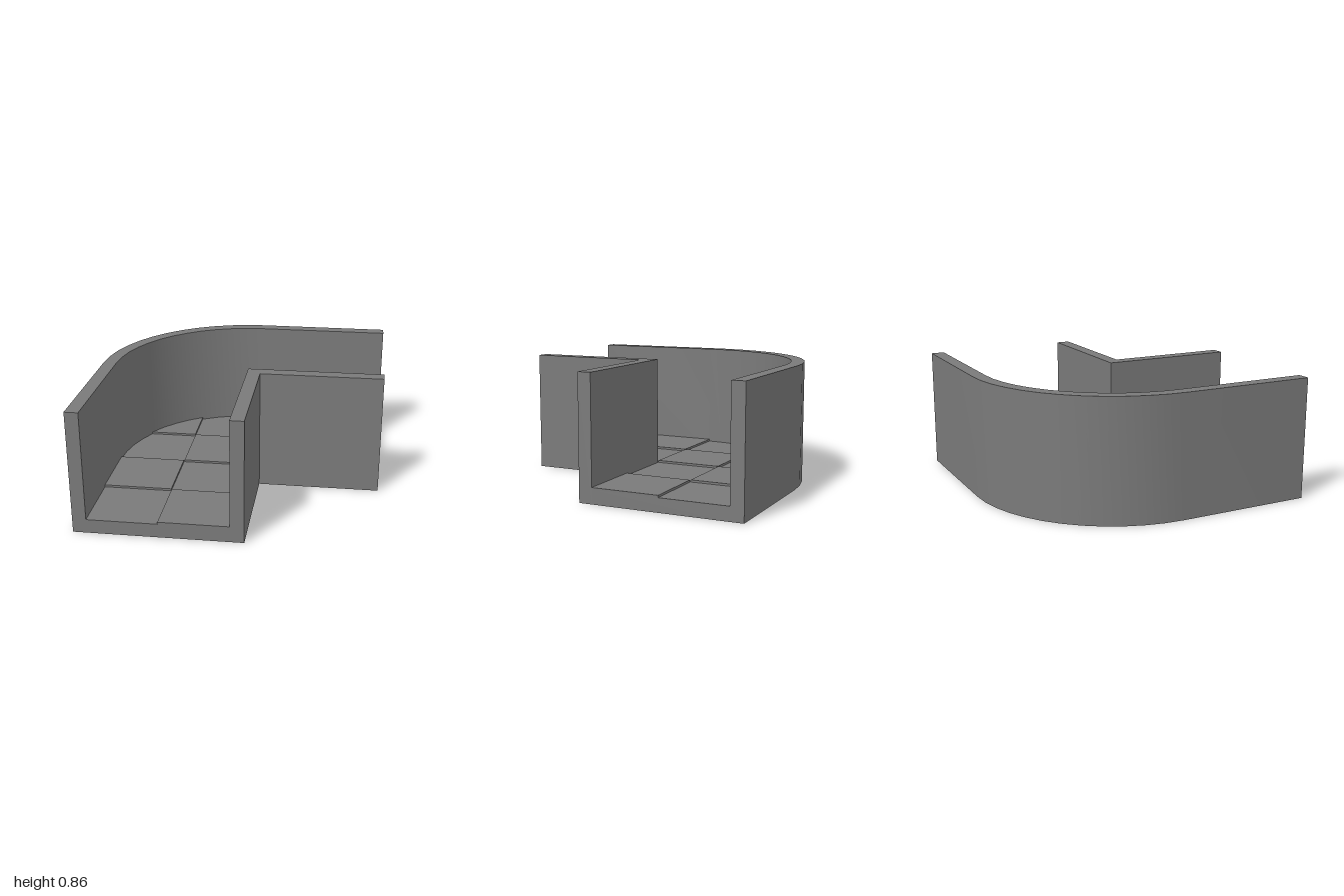
import * as THREE from 'three';
import { toCreasedNormals } from 'three/addons/utils/BufferGeometryUtils.js';

const HEIGHT = 0.855;   // wall top
const FLOOR = 0.097;    // low floor level
const TILE = 0.112;     // raised tile level
const C = 0.048;        // bend centre (x and z), also the inner wall face
const R_IN = 0.955;     // inside radius of the outer wall
const R_OUT = 1 + C;    // outside radius of the outer wall
const CORNER = 0.142;   // outer face of the inner wall
const SEGMENTS = 12;

const material = new THREE.MeshStandardMaterial({ color: 0x7a7a7a });

// Points on the bend from angle a (0 = towards -x) to b (PI/2 = towards -z), as [x, z]
function arc(radius, a = 0, b = Math.PI / 2) {
  return Array.from({ length: SEGMENTS + 1 }, (_, i) => {
    const t = a + (b - a) * i / SEGMENTS;
    return [C - radius * Math.cos(t), C - radius * Math.sin(t)];
  });
}

// Upright prism from a plan outline of [x, z] points
function prism(name, outline, bottom, top) {
  const shape = new THREE.Shape(outline.map(([x, z]) => new THREE.Vector2(x, -z)));
  const extruded = new THREE.ExtrudeGeometry(shape, { depth: top - bottom, bevelEnabled: false });
  extruded.rotateX(-Math.PI / 2).translate(0, bottom, 0);
  const mesh = new THREE.Mesh(toCreasedNormals(extruded, 0.4), material);
  mesh.name = name;
  return mesh;
}

export function createModel() {
  const group = new THREE.Group();
  group.name = 'curvedCornerChannel';
  const inside = C - R_IN;

  // Outer wall: two straight runs joined by a quarter bend
  group.add(prism('outerWall', [
    [-1, 1], ...arc(R_OUT), [1, -1],
    [1, inside], ...arc(R_IN).reverse(), [inside, 1],
  ], 0, HEIGHT));

  // Inner wall: square corner
  group.add(prism('innerWall', [
    [C, 1], [C, C], [1, C], [1, CORNER], [CORNER, CORNER], [CORNER, 1],
  ], 0, HEIGHT));

  // Floor slab between the walls
  group.add(prism('floor', [
    [inside, 1], ...arc(R_IN), [1, inside], [1, C], [C, C], [C, 1],
  ], 0, FLOOR));

  // Raised tiles in a checker pattern, slightly inset at the seams but tight against the walls
  const tiles = new THREE.Group();
  tiles.name = 'floorTiles';
  const step = (1 - inside) / 4;
  const gap = 0.002;
  const low = (i) => inside + i * step + (i === 0 ? 0 : gap);
  const high = (i, across) => {
    if (i === 1 && across > 1) return C;
    return inside + (i + 1) * step - (i === 3 ? 0 : gap);
  };
  for (let i = 0; i < 4; i++) {
    for (let j = 0; j < 4; j++) {
      const onPath = i < 2 || j < 2;
      if (!onPath || (i + j) % 2) continue;
      const [x0, x1, z0, z1] = [low(i), high(i, j), low(j), high(j, i)];
      let outline = [[x0, z0], [x1, z0], [x1, z1], [x0, z1]];
      if (i + j === 0) {
        // Corner tile follows the bend
        const start = Math.asin((C - x1) / R_IN);
        outline = [[x1, z1], ...arc(R_IN, start, Math.PI / 2 - start)];
      }
      tiles.add(prism('floorTile', outline, FLOOR, TILE));
    }
  }
  group.add(tiles);
  return group;
}
